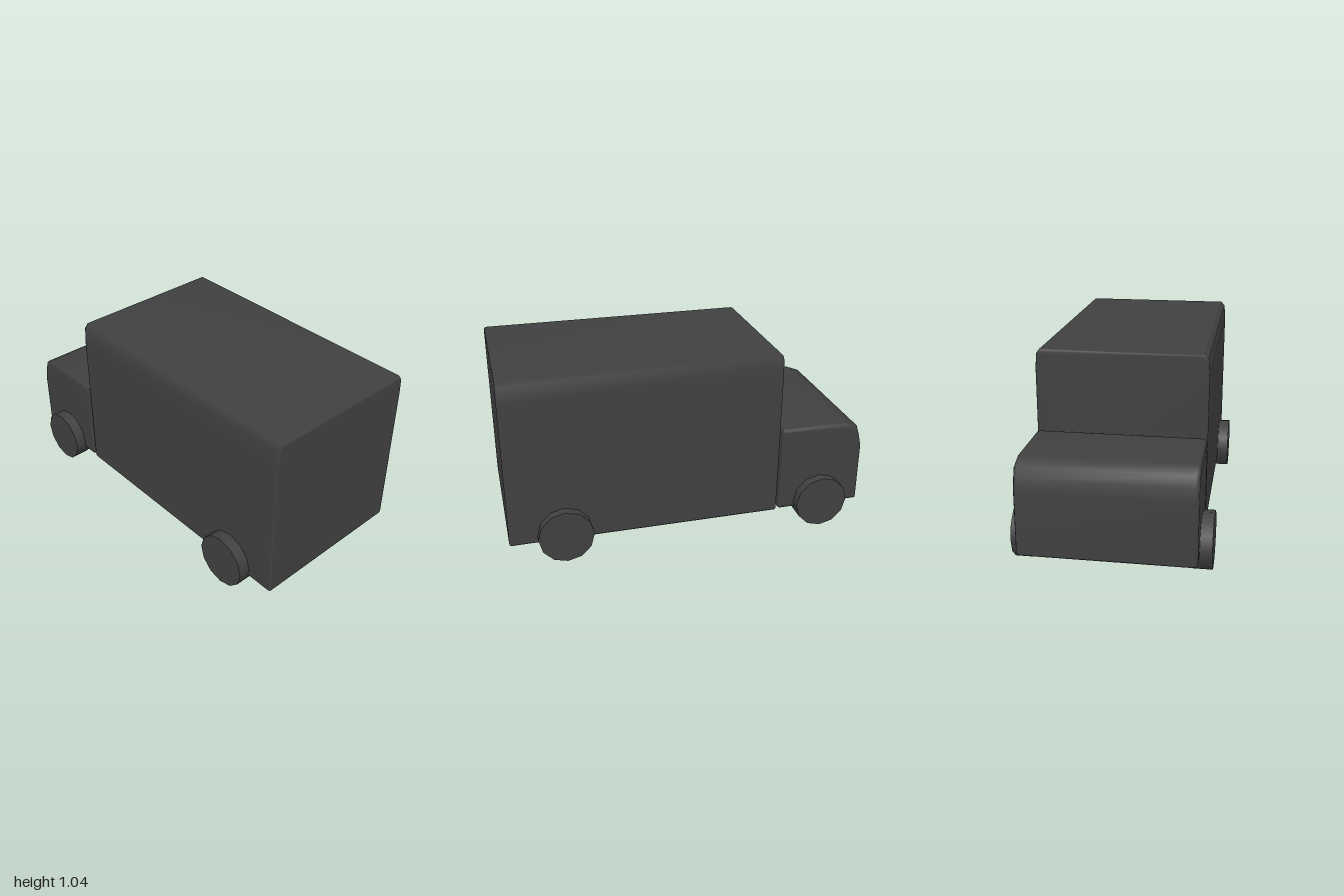
import * as THREE from 'three';
import { mergeVertices } from 'three/addons/utils/BufferGeometryUtils.js';

const paint = new THREE.MeshStandardMaterial({ color: 0x404040 });

// Extrudes an outline with a soft bevel inside its outer size, centred along the depth.
function softSlab(points, depth, bevel) {
  const shape = new THREE.Shape(points.map(([x, y]) => new THREE.Vector2(x, y)));
  const geometry = new THREE.ExtrudeGeometry(shape, {
    depth: depth - 2 * bevel,
    bevelSize: bevel,
    bevelThickness: bevel,
    bevelOffset: -bevel,
    bevelSegments: 2,
  });
  geometry.translate(0, 0, bevel - depth / 2);
  // Shared, area-weighted normals keep the large faces flat and the edges soft.
  geometry.deleteAttribute('normal');
  geometry.deleteAttribute('uv');
  const smooth = mergeVertices(geometry, 1e-4);
  smooth.computeVertexNormals();
  return smooth;
}

function addPart(group, name, geometry, x, y, z) {
  const mesh = new THREE.Mesh(geometry, paint);
  mesh.name = name;
  mesh.position.set(x, y, z);
  group.add(mesh);
  return mesh;
}

export function createModel() {
  const group = new THREE.Group();
  group.name = 'boxTruck';

  // Cargo box: cross-section with clipped roof edges, run along z
  const cargo = softSlab([
    [-0.437, 0.105], [0.45, 0.105], [0.459, 0.115], [0.46, 0.93], [0.455, 1.015],
    [0.436, 1.04], [-0.42, 1.04], [-0.441, 1.015], [-0.447, 0.93], [-0.446, 0.115],
  ], 1.505, 0.012);
  addPart(group, 'cargoBox', cargo, 0, 0, 0.2475);

  // Cab: side profile with a rounded nose, run across x
  const cab = softSlab([
    [-0.99, 0.108], [-0.525, 0.108], [-0.515, 0.118], [-0.517, 0.585], [-0.53, 0.605],
    [-0.89, 0.605], [-0.967, 0.575], [-0.985, 0.52], [-1.0, 0.455], [-1.0, 0.118],
  ], 0.905, 0.02);
  cab.rotateY(-Math.PI / 2);
  addPart(group, 'cab', cab, 0.006, 0, 0);

  // Wheels
  const wheel = new THREE.CylinderGeometry(0.15, 0.15, 0.105, 12);
  wheel.rotateZ(Math.PI / 2);
  for (const [end, z] of [['cab', -0.755], ['cargo', 0.7]]) {
    for (const [side, sign] of [['Left', 1], ['Right', -1]]) {
      addPart(group, `${end}Wheel${side}`, wheel, sign * 0.457, 0.15, z);
    }
  }

  return group;
}
